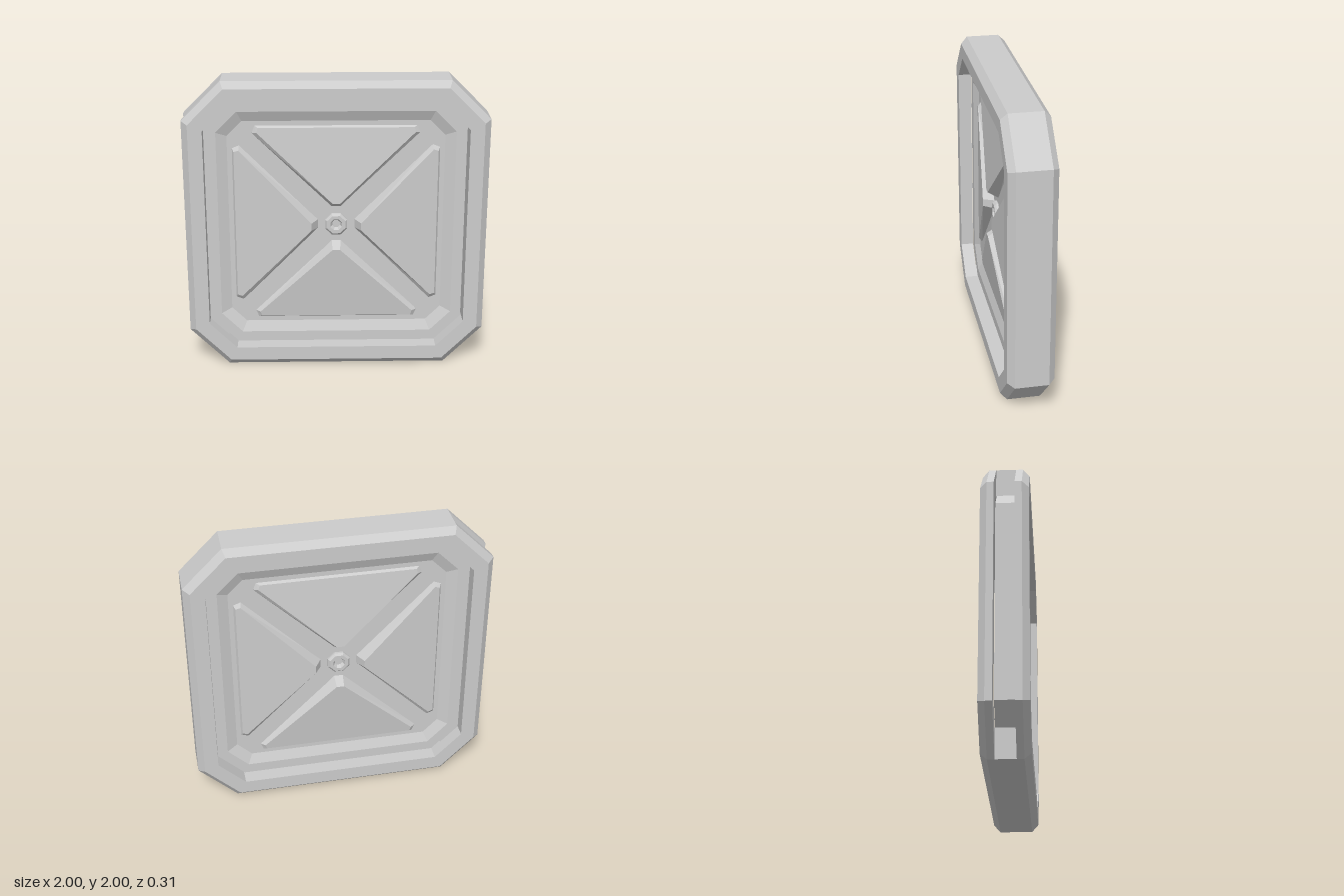
import * as THREE from 'three';

const material = new THREE.MeshStandardMaterial({ color: 0xcccccc, flatShading: true });

// Octagon with half-size h whose straight sides end at +-c
const octagon = (h, c) => [[h, -c], [h, c], [c, h], [-c, h], [-h, c], [-h, -c], [-c, -h], [c, -h]];

// Skin a list of cross-sections, each an array of [x, y, z] running counter-clockwise
function loft(sections) {
  const positions = [];
  for (let s = 0; s < sections.length - 1; s++) {
    const a = sections[s], b = sections[s + 1], n = a.length;
    for (let i = 0; i < n; i++) {
      const j = (i + 1) % n;
      positions.push(...a[i], ...a[j], ...b[j], ...a[i], ...b[j], ...b[i]);
    }
  }
  const geometry = new THREE.BufferGeometry();
  geometry.setAttribute('position', new THREE.Float32BufferAttribute(positions, 3));
  geometry.computeVertexNormals();
  return geometry;
}

const octagonLoft = (rings) => loft(rings.map(([h, c, z]) => octagon(h, c).map(([x, y]) => [x, y, z])));

function addMesh(parent, name, geometry) {
  const mesh = new THREE.Mesh(geometry, material);
  mesh.name = name;
  parent.add(mesh);
  return mesh;
}

// Triangular wedge panel, highest at the tip near the centre
function wedgeGeometry() {
  const mirror = (half) => [...half, ...half.slice().reverse().map(([x, y]) => [-x, y])];
  const base = mirror([[0.03, 0.12], [0.555, 0.635], [0.535, 0.685]]);
  const top = mirror([[0.025, 0.165], [0.52, 0.64], [0.51, 0.672]]);
  const topZ = (y) => 0.105 - (y - 0.165) * 0.108;
  return loft([
    base.map(([x, y]) => [x, y, 0.03]),
    top.map(([x, y]) => [x, y, topZ(y)]),
    top.map(() => [0, 0.5, topZ(0.5)]),
  ]);
}

export function createModel() {
  const model = new THREE.Group();
  model.name = 'slidingHatch';
  const body = new THREE.Group();
  body.name = 'hatchBody';
  body.position.y = 1;
  model.add(body);

  // Bevelled frame plates, front and back
  const plate = octagonLoft([
    [0.863, 0.68, 0.065], [1, 0.74, 0.065], [1, 0.74, 0.11],
    [0.957, 0.722, 0.153], [0.863, 0.68, 0.153], [0.863, 0.68, 0.065],
  ]);
  addMesh(body, 'frameFront', plate);
  addMesh(body, 'frameBack', plate).rotation.y = Math.PI;

  // Middle of the frame, left open on one side as the sliding slot
  const channel = [
    [-0.74, -1], [0.74, -1], [1, -0.74], [1, 0.74], [0.74, 1], [-0.74, 1],
    [-0.74, 0.803], [-0.68, 0.863], [0.68, 0.863], [0.863, 0.68],
    [0.863, -0.68], [0.68, -0.863], [-0.68, -0.863], [-0.74, -0.803],
  ];
  const shape = new THREE.Shape(channel.map(([x, y]) => new THREE.Vector2(x, y)));
  const middle = new THREE.ExtrudeGeometry(shape, { depth: 0.13, bevelEnabled: false });
  middle.translate(0, 0, -0.065);
  addMesh(body, 'frameChannel', middle);

  // Door slab with a recessed field on both faces
  const face = [[0.855, 0.675, 0.063], [0.785, 0.645, 0.063], [0.715, 0.615, 0.033], [0, 0, 0.033]];
  const back = face.map(([h, c, z]) => [h, c, -z]).reverse();
  addMesh(body, 'door', octagonLoft([...back, ...face]));

  // Four wedges and a centre bolt on each face
  const wedge = wedgeGeometry();
  const boltProfile = [[0.08, 0], [0.08, 0.018], [0.066, 0.032], [0.042, 0.032], [0.028, 0.008], [0, 0.008]];
  const bolt = new THREE.LatheGeometry(boltProfile.map(([r, y]) => new THREE.Vector2(r, y)), 8, Math.PI / 8);
  bolt.rotateX(Math.PI / 2);
  bolt.translate(0, 0, 0.03);
  for (const [name, turn] of [['front', 0], ['back', Math.PI]]) {
    const side = new THREE.Group();
    side.name = name + 'Panels';
    side.rotation.y = turn;
    body.add(side);
    for (let i = 0; i < 4; i++) addMesh(side, 'wedgePanel', wedge).rotation.z = (i * Math.PI) / 2;
    addMesh(side, 'centreBolt', bolt);
  }
  return model;
}
